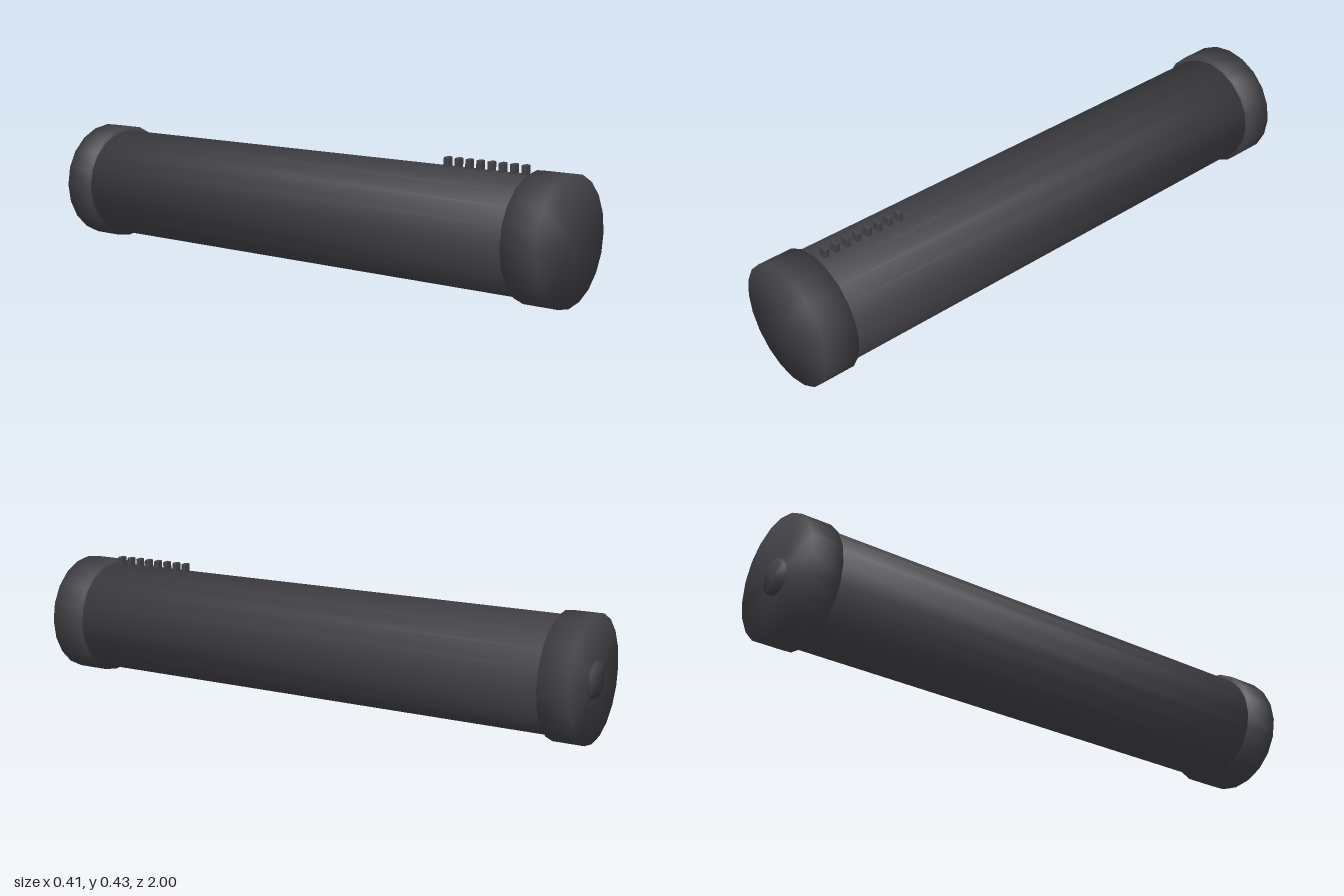
import * as THREE from 'three';
import { RoundedBoxGeometry } from 'three/addons/geometries/RoundedBoxGeometry.js';

const RADIUS = 0.207;

// Capped cylinder along z, shaded smoothly across its rims
function softCylinder(radius, zBack, zFront, sides = 20) {
  const length = zFront - zBack;
  const geometry = new THREE.CylinderGeometry(radius, radius, length, sides);
  const p = geometry.attributes.position;
  const n = new THREE.Vector3();
  for (let i = 0; i < p.count; i++) {
    n.set(p.getX(i) / radius, Math.sign(p.getY(i)), p.getZ(i) / radius).normalize();
    geometry.attributes.normal.setXYZ(i, n.x, n.y, n.z);
  }
  geometry.rotateX(Math.PI / 2);
  geometry.translate(0, RADIUS, (zBack + zFront) / 2);
  return geometry;
}

export function createModel() {
  const group = new THREE.Group();
  const darkGrey = new THREE.MeshStandardMaterial({ color: 0x434247 });
  darkGrey.name = 'dark grey';

  const add = (name, geometry) => {
    const mesh = new THREE.Mesh(geometry, darkGrey);
    mesh.name = name;
    group.add(mesh);
    return mesh;
  };

  // Long tube between two wider end caps
  add('tubeBody', softCylinder(0.191, -0.9, 0.9));
  add('frontCap', softCylinder(RADIUS, 0.88, 1));
  add('backCap', softCylinder(RADIUS, -0.99, -0.885));

  // Round button on the back cap
  add('backButton', softCylinder(0.06, -1, -0.98));

  // Row of grip ridges along the top near the front
  const ridge = new RoundedBoxGeometry(0.029, 0.04, 0.018, 1, 0.004);
  for (let i = 0; i < 8; i++) {
    add('gripRidge', ridge).position.set(0, 0.407, 0.84 - i * 0.0405);
  }

  return group;
}
